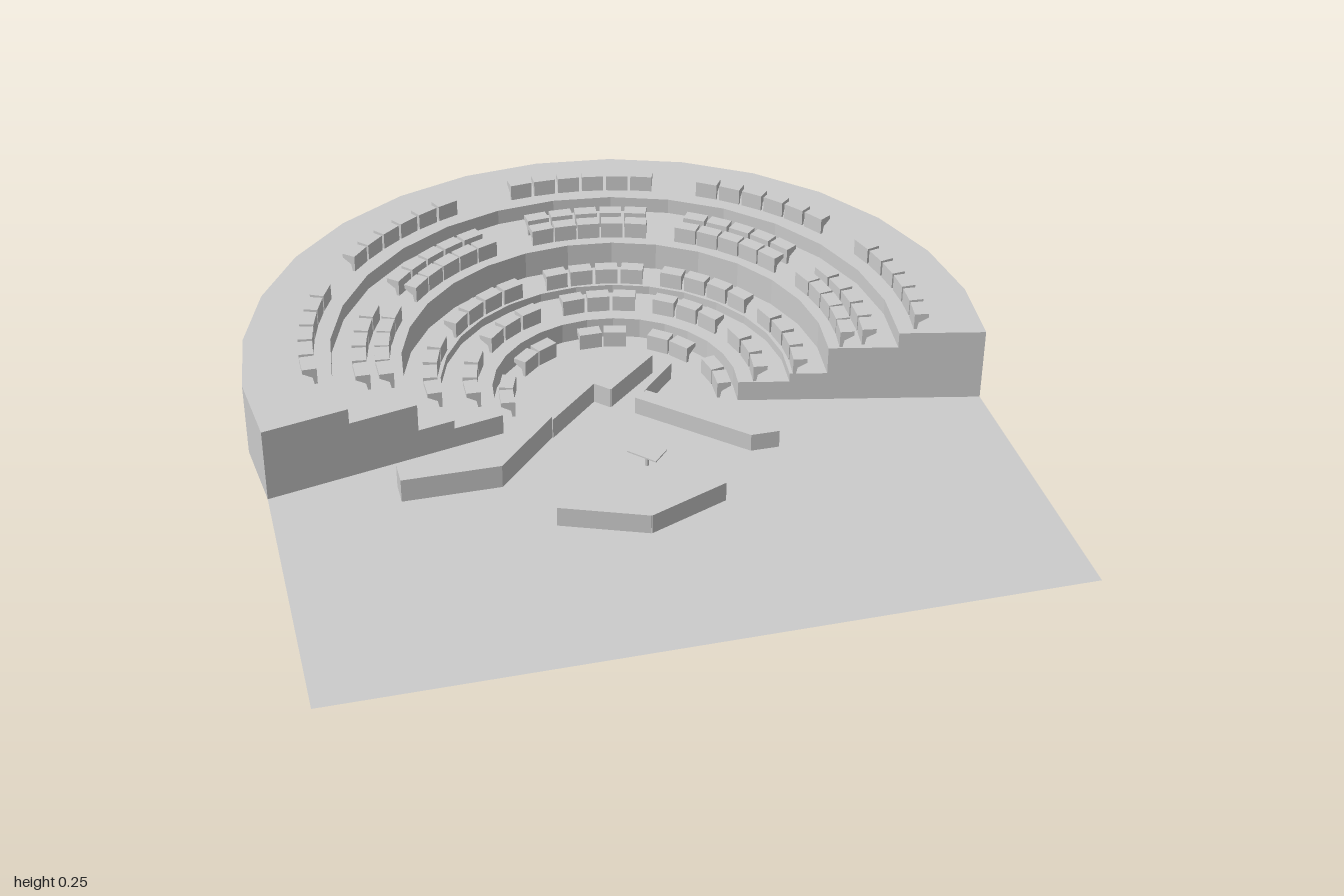
import * as THREE from 'three';

const CZ = -0.02; // centre of the curved rows
const HALF = THREE.MathUtils.degToRad(102.4); // half sweep of the bowl
const material = new THREE.MeshStandardMaterial({
  color: 0xcccccc, flatShading: true, side: THREE.DoubleSide,
});

function addMesh(parent, geometry, name) {
  const mesh = new THREE.Mesh(geometry, material);
  mesh.name = name;
  parent.add(mesh);
  return mesh;
}

const shapeOf = (points) => new THREE.Shape(points.map(([x, y]) => new THREE.Vector2(x, y)));
const planShape = (points) => shapeOf(points.map(([x, z]) => [x, -z]));

// Solid block standing on the floor from an [x, z] outline
function block(parent, outline, height, name) {
  const geo = new THREE.ExtrudeGeometry(planShape(outline), { depth: height, bevelEnabled: false });
  return addMesh(parent, geo.rotateX(-Math.PI / 2), name);
}

// Thin upright panels along an [x, z] path
function panels(parent, path, height, name) {
  const group = new THREE.Group();
  group.name = name;
  for (let i = 0; i < path.length - 1; i++) {
    const [x0, z0] = path[i], [x1, z1] = path[i + 1];
    const geo = new THREE.BoxGeometry(Math.hypot(x1 - x0, z1 - z0), height, 0.006);
    const panel = addMesh(group, geo, 'panel');
    panel.position.set((x0 + x1) / 2, height / 2, (z0 + z1) / 2);
    panel.rotation.y = -Math.atan2(z1 - z0, x1 - x0);
  }
  parent.add(group);
}

export function createModel() {
  const model = new THREE.Group();
  model.name = 'assemblyHall';

  // Stepped bowl: open underneath, closed by a flat wall at each end
  const steps = [
    [0.328, 0], [0.328, 0.058], [0.465, 0.058], [0.465, 0.083], [0.565, 0.083],
    [0.565, 0.162], [0.75, 0.162], [0.75, 0.206], [0.98, 0.206], [0.98, 0],
  ];
  const bowl = new THREE.Group();
  bowl.name = 'steppedBowl';
  bowl.position.z = CZ;
  const profile = steps.map(([r, y]) => new THREE.Vector2(r, y));
  addMesh(bowl, new THREE.LatheGeometry(profile, 16, Math.PI - HALF, 2 * HALF), 'tiers');
  for (const side of [-1, 1]) {
    const wall = addMesh(bowl, new THREE.ShapeGeometry(shapeOf(steps)), 'endWall');
    wall.rotation.y = Math.PI + side * HALF - Math.PI / 2;
  }
  model.add(bowl);

  // Floor: rectangle in front, running in to the lowest tier
  const floor = [[-0.957, 1], [0.957, 1]];
  floor.push([0.98 * Math.sin(HALF), CZ - 0.98 * Math.cos(HALF)]);
  for (let i = 0; i <= 16; i++) {
    const a = HALF - (i / 16) * 2 * HALF;
    floor.push([0.328 * Math.sin(a), CZ - 0.328 * Math.cos(a)]);
  }
  floor.push([-0.98 * Math.sin(HALF), CZ - 0.98 * Math.cos(HALF)]);
  addMesh(model, new THREE.ShapeGeometry(planShape(floor)).rotateX(-Math.PI / 2), 'floor');

  // Small desks: front panel with an overhanging top, in five blocks per row
  const h = 0.046;
  const deskShape = shapeOf([
    [-0.018, 0], [-0.018, h], [0.02, h], [0.02, h - 0.012], [-0.006, h - 0.026], [-0.01, 0],
  ]);
  const deskGeo = new THREE.ExtrudeGeometry(deskShape, { depth: 0.062, bevelEnabled: false });
  deskGeo.translate(0, 0, -0.031);
  const blocks = [-77, -36, 6.5, 46, 86];
  const rows = [ // radius, floor level, desks per block, degrees between desks
    [0.29, 0, 2, 14], [0.385, 0.058, 3, 11], [0.49, 0.083, 4, 8.6],
    [0.612, 0.162, 5, 6.4], [0.672, 0.162, 5, 6.1], [0.808, 0.206, 6, 5.1],
  ];
  rows.forEach(([r, y, count, step], n) => {
    const row = new THREE.Group();
    row.name = `deskRow${n + 1}`;
    row.position.set(0, y, CZ);
    for (const middle of blocks) {
      for (let i = 0; i < count; i++) {
        const a = THREE.MathUtils.degToRad(middle + (i - (count - 1) / 2) * step);
        const desk = addMesh(row, deskGeo, 'desk');
        desk.position.set(r * Math.sin(a), 0, -r * Math.cos(a));
        desk.rotation.y = Math.PI / 2 - a;
      }
    }
    model.add(row);
  });

  // Long counters and the screens that continue them
  block(model, [[-0.63, 0.215], [-0.38, 0.215], [-0.238, 0.062], [-0.2, 0.1],
    [-0.37, 0.282], [-0.63, 0.282]], 0.066, 'angledCounter');
  panels(model, [[-0.2, 0.1], [-0.055, 0.04 - 0.08], [-0.018, -0.002], [0.13, -0.135]], 0.058, 'counterScreen');
  block(model, [[0.04, 0.045], [0.075, 0.015], [0.365, 0.282], [0.288, 0.282]], 0.05, 'straightCounter');
  panels(model, [[0.04, 0.045], [0.172, -0.095]], 0.05, 'shortScreen');

  // Free-standing bent screen at the front
  panels(model, [[-0.27, 0.47], [-0.05, 0.557], [0.165, 0.47]], 0.055, 'frontScreen');

  // Little table on a post
  const table = new THREE.Group();
  table.name = 'table';
  block(table, [[0.002, 0.227], [0.06, 0.287], [0.02, 0.33], [-0.04, 0.267]], 0.004, 'tableTop').position.y = 0.042;
  addMesh(table, new THREE.CylinderGeometry(0.005, 0.005, 0.042, 6), 'tablePost').position.set(0.01, 0.021, 0.278);
  model.add(table);

  return model;
}
